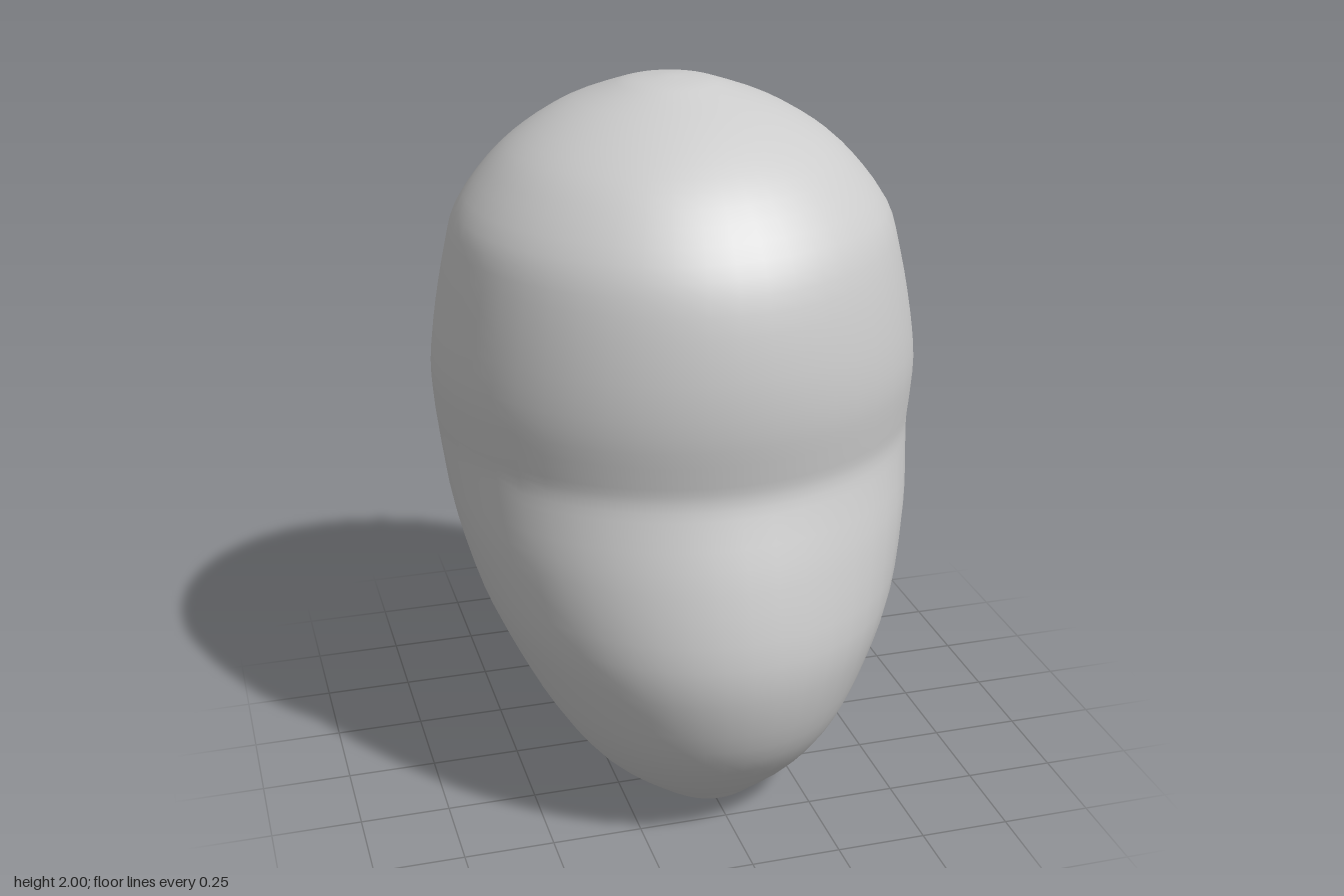
import * as THREE from 'three';

// Horizontal sections of the head: [height, half width, front z, back z]
const SECTIONS = [
  [0, 0, 0.35, 0.35],
  [0.015, 0.1, 0.43, 0.24],
  [0.06, 0.2, 0.485, 0.09],
  [0.15, 0.325, 0.58, -0.11],
  [0.28, 0.43, 0.68, -0.345],
  [0.44, 0.52, 0.735, -0.53],
  [0.6, 0.59, 0.745, -0.615],
  [0.8, 0.645, 0.695, -0.68],
  [0.95, 0.665, 0.64, -0.712],
  [1.03, 0.673, 0.615, -0.725],
  [1.1, 0.68, 0.62, -0.735],
  [1.22, 0.685, 0.632, -0.743],
  [1.36, 0.668, 0.625, -0.735],
  [1.53, 0.635, 0.59, -0.7],
  [1.65, 0.6, 0.535, -0.655],
  [1.77, 0.51, 0.435, -0.57],
  [1.85, 0.42, 0.33, -0.48],
  [1.92, 0.3, 0.2, -0.38],
  [1.97, 0.17, 0.07, -0.255],
  [1.99, 0.1, 0, -0.185],
  [2, 0, -0.09, -0.09],
];
const SIDES = 48;
const STEPS = 3;

function createHeadGeometry() {
  // Front and back outlines share one parameter, so each pair gives one ring
  const outline = (k) => new THREE.CatmullRomCurve3(
    SECTIONS.map((s) => new THREE.Vector3(s[1], s[0], s[k])), false, 'catmullrom');
  const front = outline(2);
  const back = outline(3);
  const rings = (SECTIONS.length - 1) * STEPS;
  const positions = [];
  const index = [];

  // Elliptical rings between a single vertex at the chin and one at the crown
  for (let i = 0; i <= rings; i++) {
    const f = front.getPoint(i / rings);
    const b = back.getPoint(i / rings);
    const middle = (f.z + b.z) / 2;
    const depth = (f.z - b.z) / 2;
    const count = i === 0 || i === rings ? 1 : SIDES;
    for (let j = 0; j < count; j++) {
      const a = (j / SIDES) * Math.PI * 2;
      positions.push(f.x * Math.sin(a), f.y, middle + depth * Math.cos(a));
    }
  }

  const id = (i, j) => {
    if (i === 0) return 0;
    const start = 1 + (i - 1) * SIDES;
    return i === rings ? start : start + (j % SIDES);
  };
  for (let i = 0; i < rings; i++) {
    for (let j = 0; j < SIDES; j++) {
      const a = id(i, j), b = id(i, j + 1), c = id(i + 1, j + 1), d = id(i + 1, j);
      if (i > 0) index.push(a, b, d);
      if (i < rings - 1) index.push(b, c, d);
    }
  }

  const geometry = new THREE.BufferGeometry();
  geometry.setAttribute('position', new THREE.Float32BufferAttribute(positions, 3));
  geometry.setIndex(index);
  geometry.computeVertexNormals();
  return geometry;
}

export function createModel() {
  const group = new THREE.Group();
  group.name = 'headBase';
  const head = new THREE.Mesh(
    createHeadGeometry(), new THREE.MeshStandardMaterial({ color: 0xcccccc }));
  head.name = 'head';
  group.add(head);
  return group;
}
